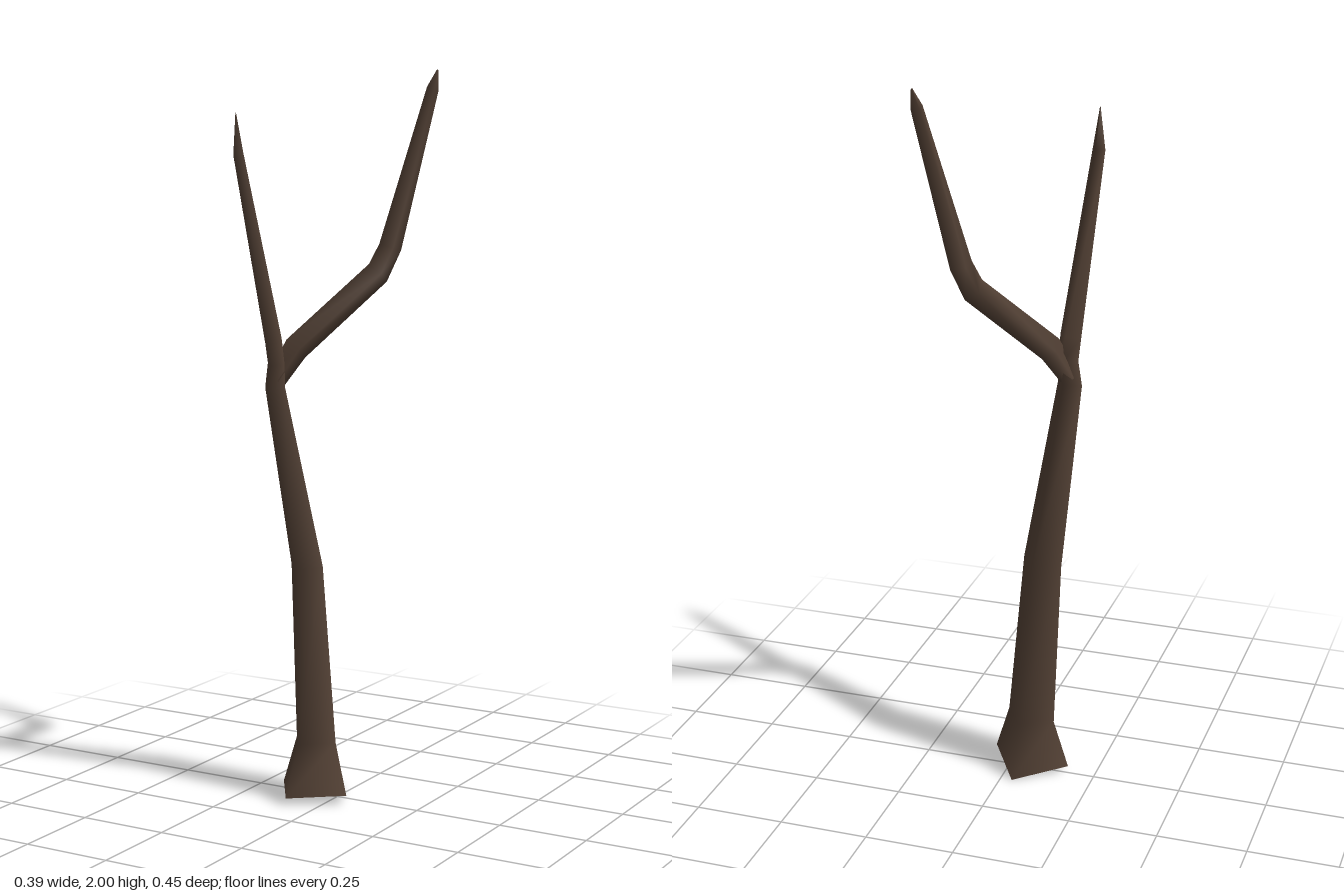
import * as THREE from 'three';

// Four-sided limb through sections [x, y, z, radius]; ref aims the first corner.
function limb(sections, ref, footOffsets) {
  const centres = sections.map(s => new THREE.Vector3(s[0], s[1], s[2]));
  const positions = [], index = [];
  const n = sections.length;
  centres.forEach((c, i) => {
    const t = centres[Math.min(i + 1, n - 1)].clone().sub(centres[Math.max(i - 1, 0)]).normalize();
    if (i === 0 && footOffsets) t.set(0, 1, 0);
    const u = ref.clone().addScaledVector(t, -ref.dot(t)).normalize();
    const v = t.clone().cross(u);
    for (let k = 0; k < 4; k++) {
      const p = c.clone()
        .addScaledVector(u, Math.cos(k * Math.PI / 2) * sections[i][3])
        .addScaledVector(v, Math.sin(k * Math.PI / 2) * sections[i][3]);
      if (i === 0 && footOffsets) p.y += footOffsets[k];
      positions.push(p.x, p.y, p.z);
      if (i < n - 1) {
        const a = i * 4 + k, b = i * 4 + (k + 1) % 4;
        index.push(a, b, b + 4, a, b + 4, a + 4);
      }
    }
  });
  const g = new THREE.BufferGeometry();
  g.setAttribute('position', new THREE.Float32BufferAttribute(positions, 3));
  g.setIndex(index);
  g.computeVertexNormals();
  return g;
}

// Flat underside made from the first ring of a limb
function endCap(source) {
  const g = new THREE.BufferGeometry();
  g.setAttribute('position', new THREE.Float32BufferAttribute(source.attributes.position.array.slice(0, 12), 3));
  g.setIndex([0, 2, 1, 0, 3, 2]);
  g.computeVertexNormals();
  return g;
}

export function createModel() {
  const tree = new THREE.Group();
  tree.name = 'bareTree';
  const bark = new THREE.MeshStandardMaterial({ color: 0x524034 });
  bark.name = 'darkBark';
  const add = (name, geometry) => {
    const mesh = new THREE.Mesh(geometry, bark);
    mesh.name = name;
    tree.add(mesh);
  };

  // Flared trunk that runs on into the upright branch
  const trunk = limb([
    [-0.058, 0, 0.026, 0.118],
    [-0.058, 0.16, 0.018, 0.073],
    [-0.092, 0.65, 0.008, 0.059],
    [-0.14, 1.15, 0.095, 0.037],
    [-0.133, 1.215, 0.1, 0.031],
    [-0.137, 1.28, 0.108, 0.032],
    [-0.18, 1.775, 0.209, 0.019],
    [-0.177, 1.885, 0.226, 0.001],
  ], new THREE.Vector3(0.98, 0, 0.21), [0.025, 0, 0.02, 0.02]);
  add('trunk', trunk);
  add('trunkUnderside', endCap(trunk));

  // Side branch with an elbow
  add('sideBranch', limb([
    [-0.137, 1.17, 0.095, 0.028],
    [-0.095, 1.255, 0.06, 0.036],
    [0.066, 1.455, -0.106, 0.035],
    [0.093, 1.525, -0.126, 0.032],
    [0.177, 1.95, -0.209, 0.017],
    [0.186, 2.0, -0.219, 0.002],
  ], new THREE.Vector3(0.69, 0, 0.72)));

  return tree;
}
